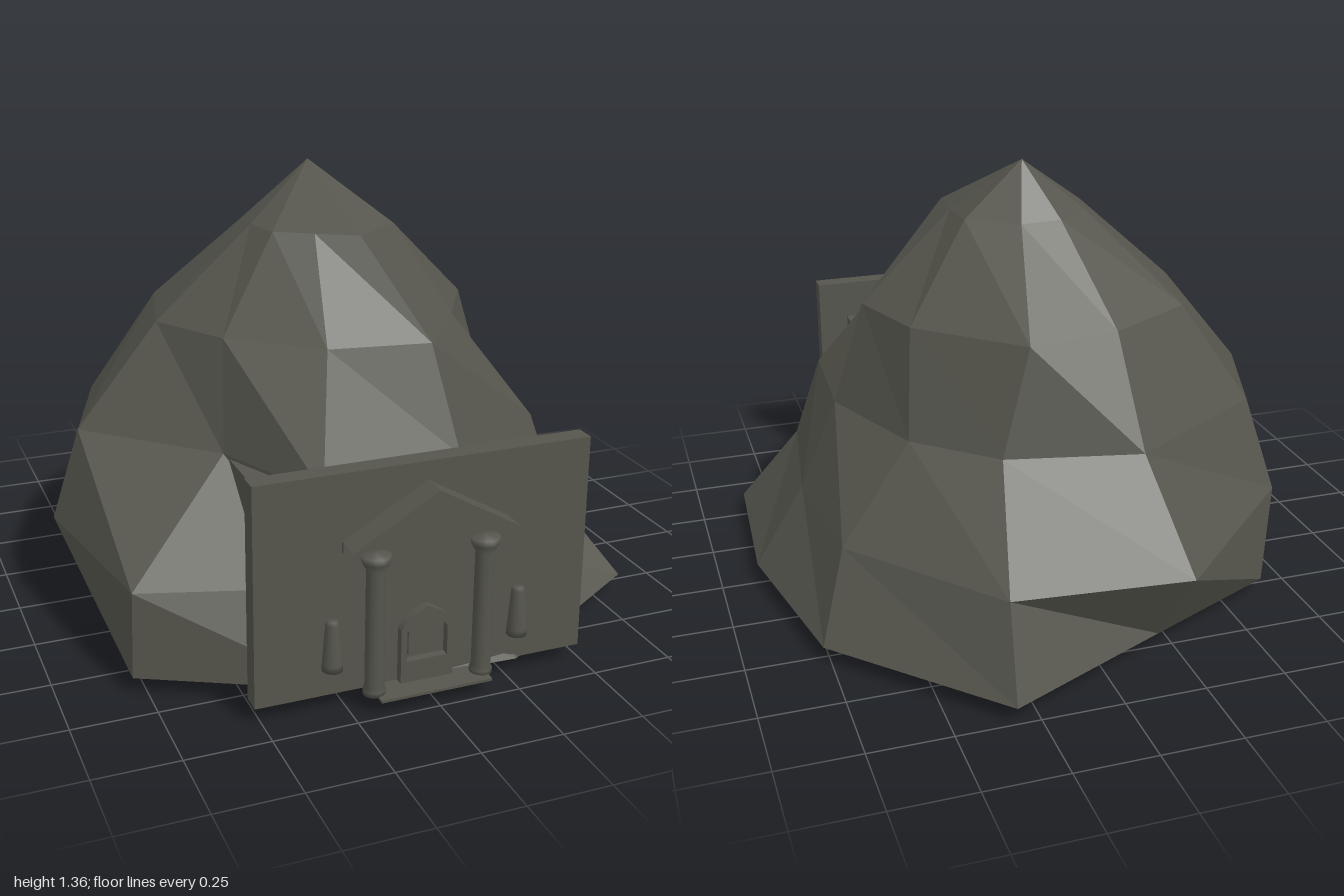
import * as THREE from 'three';

const stone = new THREE.MeshStandardMaterial({ color: 0x55554d });
stone.name = 'stone';

// Rock cross-sections: height, then [x, z] every 36 degrees from +x toward +z
const RINGS = [
  [0.05, [[0.88, 0.03], [0.85, 0.56], [0.28, 0.92], [-0.26, 0.9], [-0.79, 0.63],
    [-0.77, 0.03], [-0.64, -0.56], [-0.2, -0.76], [0.32, -1.0], [0.77, -0.53]]],
  [0.31, [[0.72, 0.03], [0.66, 0.47], [0.24, 0.61], [-0.26, 0.78], [-0.78, 0.62],
    [-0.88, 0.03], [-0.72, -0.45], [-0.24, -0.92], [0.3, -0.87], [0.68, -0.42]]],
  [0.59, [[0.6, 0.03], [0.58, 0.41], [0.22, 0.64], [-0.26, 0.76], [-0.43, 0.38],
    [-0.79, 0.03], [-0.66, -0.35], [-0.19, -0.64], [0.22, -0.55], [0.45, -0.34]]],
  [0.91, [[0.5, 0.03], [0.36, 0.27], [0.17, 0.53], [-0.14, 0.48], [-0.39, 0.27],
    [-0.53, 0.03], [-0.45, -0.29], [-0.17, -0.45], [0.12, -0.5], [0.41, -0.23]]],
  [1.19, [[0.21, 0.03], [0.2, 0.17], [0.04, 0.29], [-0.08, 0.22], [-0.19, 0.15],
    [-0.22, 0.03], [-0.19, -0.11], [-0.08, -0.19], [0.05, -0.2], [0.2, -0.1]]],
];

function rockGeometry() {
  const pts = [];
  for (const [y, ring] of RINGS) for (const [x, z] of ring) pts.push(x, y, z);
  const n = 10, top = RINGS.length * n, bottom = top + 1;
  pts.push(0.01, 1.36, -0.08, 0, 0.05, 0.03);
  const idx = [];
  for (let i = 0; i < n; i++) {
    const j = (i + 1) % n;
    for (let r = 0; r < RINGS.length - 1; r++) {
      const a = r * n + i, b = r * n + j;
      idx.push(a, a + n, b + n, a, b + n, b);
    }
    idx.push(top - n + i, top, top - n + j, bottom, i, j);
  }
  const indexed = new THREE.BufferGeometry();
  indexed.setAttribute('position', new THREE.Float32BufferAttribute(pts, 3));
  indexed.setIndex(idx);
  const g = indexed.toNonIndexed();
  g.computeVertexNormals();
  return g;
}

export function createModel() {
  const model = new THREE.Group();
  model.name = 'mountainTemple';
  const cx = -0.015; // centre line of the facade

  const add = (name, geometry, x = 0, y = 0, z = 0) => {
    const m = new THREE.Mesh(geometry, stone);
    m.name = name;
    m.position.set(x, y, z);
    model.add(m);
    return m;
  };
  const box = (name, x0, x1, y0, y1, z0, z1) =>
    add(name, new THREE.BoxGeometry(x1 - x0, y1 - y0, z1 - z0),
      (x0 + x1) / 2, (y0 + y1) / 2, (z0 + z1) / 2);
  const slab = (name, shape, z0, z1) =>
    add(name, new THREE.ExtrudeGeometry(shape, { depth: z1 - z0, bevelEnabled: false, curveSegments: 6 }), cx, 0, z0);

  add('rock', rockGeometry());

  // Facade wall and the hall joining it to the rock
  box('hall', -0.42, 0.39, 0.05, 0.58, 0.3, 0.86);
  box('facadeWall', -0.52, 0.49, 0.05, 0.71, 0.85, 0.91);

  // Pediment above the columns
  const gable = new THREE.Shape([[-0.25, 0.51], [0.25, 0.51], [0, 0.655]].map(p => new THREE.Vector2(...p)));
  slab('pediment', gable, 0.9, 0.99);
  box('lintel', cx - 0.25, cx + 0.25, 0.48, 0.512, 0.9, 0.92);

  // Entrance steps
  box('doorstep', -0.18, 0.16, 0.046, 0.054, 0.9, 1.0);
  box('stepFront', -0.14, 0.115, 0, 0.05, 0.91, 0.918);

  // Pointed door and the arch around it
  const arch = (path, w, y0, spring, peak) => {
    path.moveTo(-w, y0);
    path.lineTo(w, y0);
    path.lineTo(w, spring);
    path.quadraticCurveTo(w * 0.8, peak - 0.03, 0, peak);
    path.quadraticCurveTo(-w * 0.8, peak - 0.03, -w, spring);
    path.closePath();
    return path;
  };
  const frame = arch(new THREE.Shape(), 0.08, 0.05, 0.22, 0.285);
  frame.holes.push(arch(new THREE.Path(), 0.062, 0.12, 0.21, 0.265));
  slab('doorFrame', frame, 0.9, 0.935);
  slab('door', arch(new THREE.Shape(), 0.05, 0.13, 0.22, 0.262), 0.9, 0.918);

  // Columns and wall lamps on both sides
  const lathe = pts => new THREE.LatheGeometry(pts.map(p => new THREE.Vector2(...p)), 16);
  const column = lathe([[0, 0.05], [0.033, 0.05], [0.033, 0.065], [0.028, 0.075],
    [0.027, 0.43], [0.04, 0.455], [0.042, 0.475], [0, 0.48]]);
  const lamp = lathe([[0, 0.14], [0.03, 0.14], [0.029, 0.16], [0.02, 0.28], [0.014, 0.29], [0, 0.29]]);
  for (const [side, s] of [['left', 1], ['right', -1]]) {
    add(side + 'Column', column, cx + s * 0.165, 0, 0.945);
    add(side + 'Lamp', lamp, cx + s * 0.285, 0, 0.93);
  }
  return model;
}
